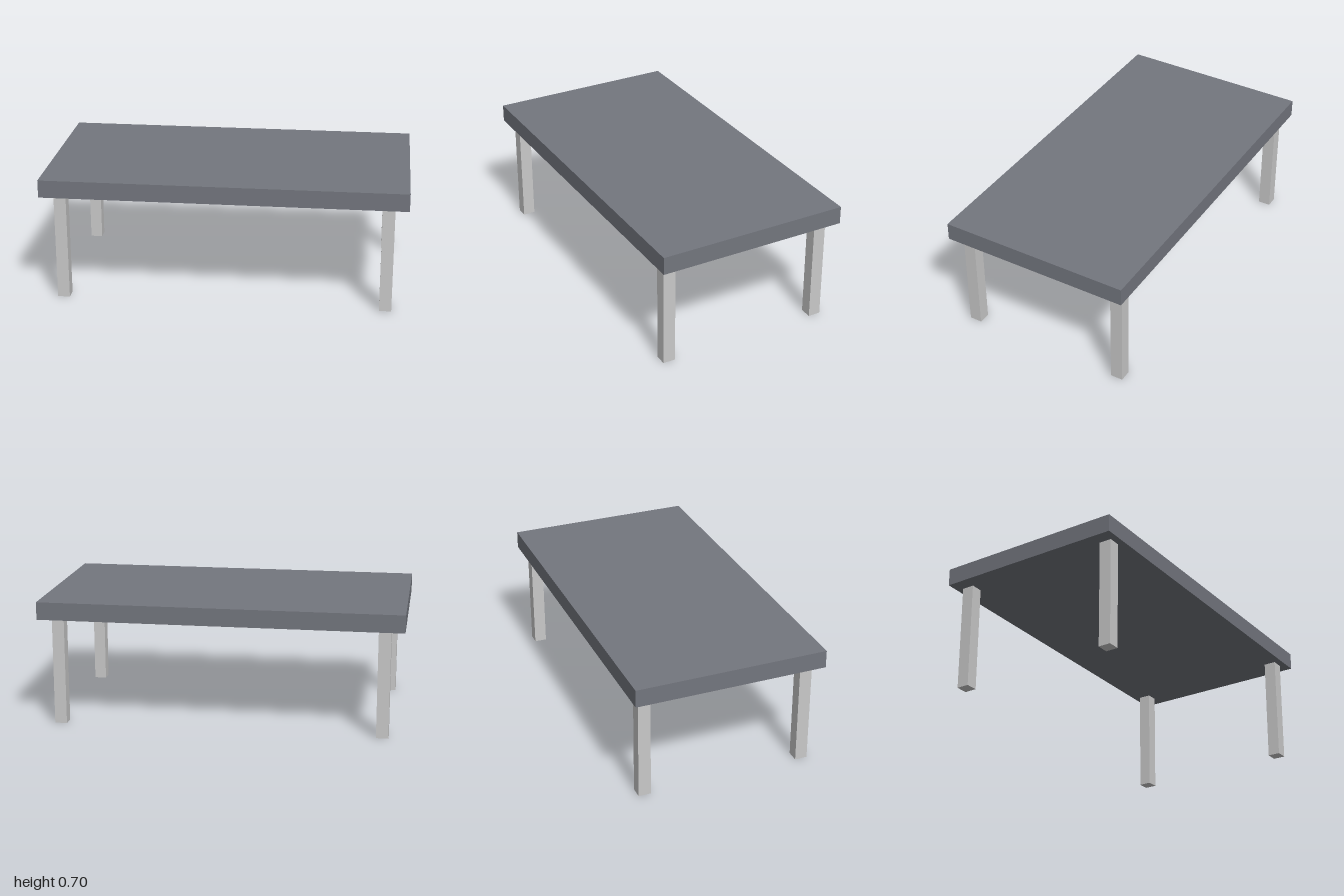
import * as THREE from 'three';

export function createModel() {
  const model = new THREE.Group();
  model.name = 'table';

  const slate = new THREE.MeshStandardMaterial({ name: 'slateGrey', color: 0x73767e });
  const pale = new THREE.MeshStandardMaterial({ name: 'paleGrey', color: 0xc9c9c9 });

  const legHeight = 0.598;
  const topThickness = 0.098;

  // Thick rectangular slab
  const top = new THREE.Mesh(new THREE.BoxGeometry(2, topThickness, 1.063), slate);
  top.name = 'tableTop';
  top.position.y = legHeight + topThickness / 2;
  model.add(top);

  // Four square legs, inset from the corners
  const legGeometry = new THREE.BoxGeometry(0.067, legHeight, 0.069);
  for (const [zName, z] of [['front', 1], ['back', -1]]) {
    for (const [xName, x] of [['Left', 1], ['Right', -1]]) {
      const leg = new THREE.Mesh(legGeometry, pale);
      leg.name = `${zName}${xName}Leg`;
      leg.position.set(x * 0.892, legHeight / 2, z * 0.457);
      model.add(leg);
    }
  }

  return model;
}
